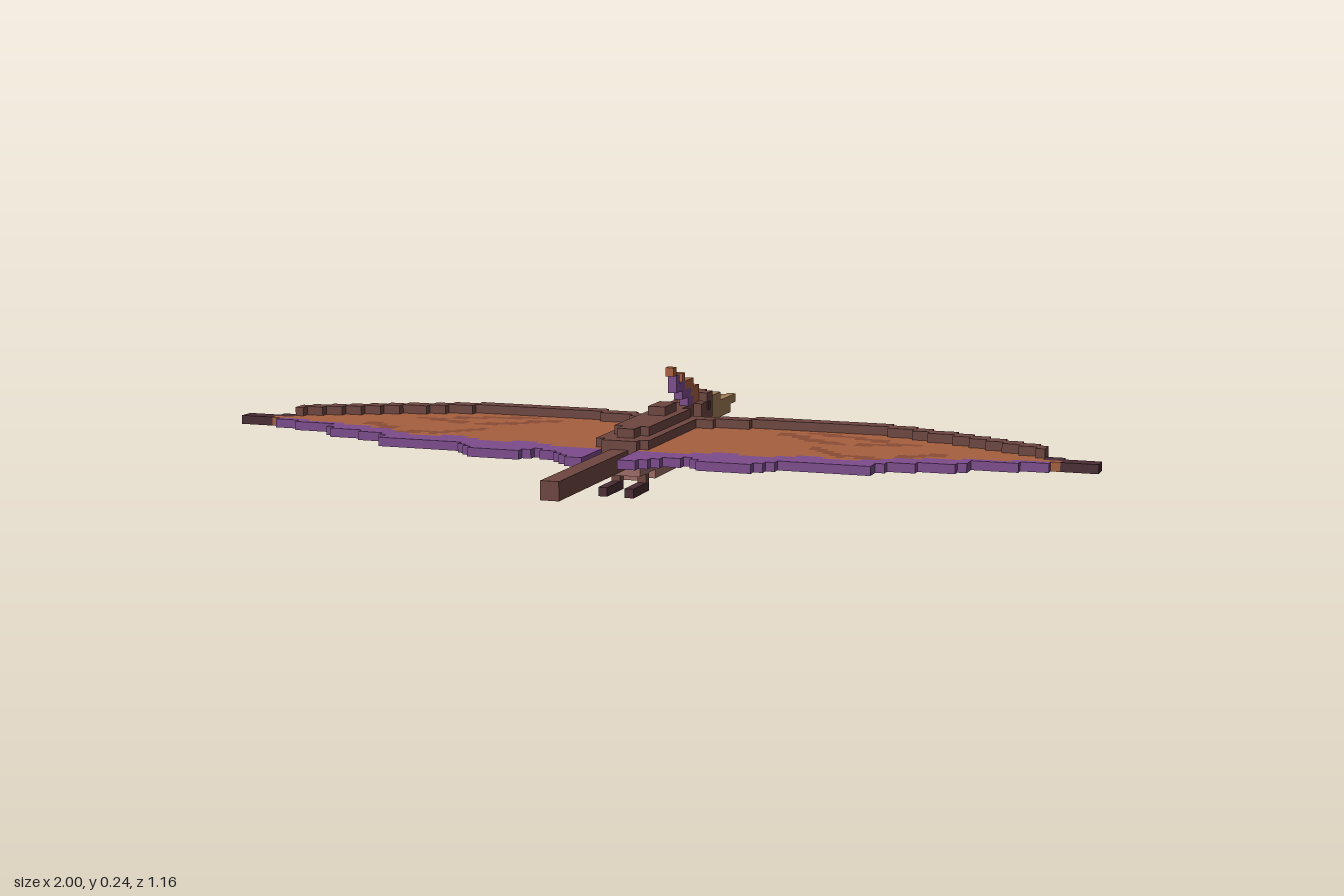
import * as THREE from 'three';
import { mergeGeometries } from 'three/addons/utils/BufferGeometryUtils.js';

const U = 0.02; // one block; all integers below count blocks

const mat = (name, color) => {
  const m = new THREE.MeshStandardMaterial({ color });
  m.name = name;
  return m;
};

// Linear interpolation through [x, z] points, snapped to whole blocks
function edge(points, x) {
  for (let i = 1; i < points.length; i++) {
    const [x0, z0] = points[i - 1], [x1, z1] = points[i];
    if (x <= x1) return Math.round(z0 + (z1 - z0) * (x - x0) / (x1 - x0));
  }
  return Math.round(points[points.length - 1][1]);
}

// Distance from a point to a segment
function segDist(px, pz, [ax, az, bx, bz]) {
  const dx = bx - ax, dz = bz - az;
  const t = Math.min(1, Math.max(0, ((px - ax) * dx + (pz - az) * dz) / (dx * dx + dz * dz)));
  return Math.hypot(px - ax - t * dx, pz - az - t * dz);
}

// Wing outline in blocks: leading edge, membrane/fringe border, trailing edge
const LEAD = [[2, -9.5], [5, -10.2], [6, -11], [9, -11.2], [10, -12], [24, -12], [29, -10], [32, -9],
  [38, -6], [43, -3.4], [46, -1.2], [50, -1]];
const BORDER = [[2, 9.4], [6, 9], [9, 8], [11, 6.8], [13, 7.5], [16, 8.5], [18, 7], [20, 6], [24, 7],
  [27, 6], [29, 4.4], [33, 3], [38, 2], [42, 1.2], [45, 1], [50, 1]];
const TRAIL = [[2, 15], [4, 14.6], [5, 13.5], [6, 12], [9, 11], [10, 12.6], [16, 12.6], [17, 11.5],
  [19, 9.7], [21, 10.6], [23, 10], [28, 9.8], [28.5, 7.6], [31, 6.6], [36, 5.6], [37, 3.6],
  [42, 2.4], [44, 1.6], [46, 1.4], [50, 1]];
const STREAKS = [[17, -8.5, 20.5, -7.5], [22, -7.2, 25, -6], [24, -3, 29, -4.6], [16.5, -4.8, 21, -2.6],
  [19.5, 1, 23.5, 5], [30, 3, 33, 1], [25, 4.5, 27, 5.5], [14, -7, 16, -6]];

export function createModel() {
  const M = {
    brown: mat('brown hide', 0x6e4640),
    dark: mat('dark claw', 0x4a2c34),
    orange: mat('orange membrane', 0xa65f3e),
    rust: mat('rust streak', 0x8a4c36),
    purple: mat('purple fringe', 0x7c4c8c),
    pink: mat('pink belly', 0x9c6c66),
    tan: mat('tan beak', 0xa07c54),
  };
  const model = new THREE.Group();
  model.name = 'wingedReptile';

  // A block spanning x0..x1, y0..y1, z0..z1 in grid units
  const block = (x0, x1, y0, y1, z0, z1) =>
    new THREE.BoxGeometry((x1 - x0) * U, (y1 - y0) * U, (z1 - z0) * U)
      .translate((x0 + x1) * U / 2, (y0 + y1) * U / 2, (z0 + z1) * U / 2);

  const part = (name, material, boxes, parent = model) => {
    const mesh = new THREE.Mesh(mergeGeometries(boxes.map((b) => block(...b))), material);
    mesh.name = name;
    parent.add(mesh);
  };

  // Wings: one run of blocks per colour along every column
  for (const [side, name] of [[1, 'leftWing'], [-1, 'rightWing']]) {
    const wing = new THREE.Group();
    wing.name = name;
    model.add(wing);
    const runs = { brown: [], dark: [], orange: [], rust: [], purple: [] };
    for (let k = 2; k < 50; k++) {
      const x = k + 0.5;
      const [x0, x1] = side > 0 ? [k, k + 1] : [-k - 1, -k];
      const z0 = edge(LEAD, x);
      const z1 = Math.max(edge(TRAIL, x), z0 + 2);
      const border = Math.min(edge(BORDER, x), z1);
      const colourAt = (z) => {
        if (z < z0 + 2 || (k > 45 && z < 1)) return 'dark';
        if (z >= border) return 'purple';
        return STREAKS.some((s) => segDist(x, z + 0.5, s) < 0.8) ? 'rust' : 'orange';
      };
      for (let z = z0, start = z0; z < z1; z++) {
        if (z + 1 === z1 || colourAt(z + 1) !== colourAt(z)) {
          runs[colourAt(z)].push([x0, x1, 4, 5, start, z + 1]);
          start = z + 1;
        }
      }
      if (k < 44) runs.brown.push([x0, x1, 5, 6, z0, z0 + 2]); // arm bone on top
    }
    part('armBone', M.brown, runs.brown, wing);
    part('armUnderside', M.dark, runs.dark, wing);
    part('membrane', M.orange, runs.orange, wing);
    part('membraneStreaks', M.rust, runs.rust, wing);
    part('trailingFringe', M.purple, runs.purple, wing);
  }

  // Torso: stepped back over a paler belly
  part('torso', M.brown, [
    [-2, 2, 4, 6, -10, 9],
    [-3, 3, 4, 6, -8, 8],
    [-2, 2, 6, 7, -9, 5],
    [-1, 1, 6, 7, -12, 7],
    [-1, 1, 7, 8, -7, -3],
  ]);
  part('belly', M.pink, [
    [-3, 3, 3, 4, -8, 8],
    [-2, 2, 3, 4, -10, 9],
    [-2, 2, 2, 3, -10, 8],
    [-1, 1, 1, 2, -6, 5],
    [-2, 2, 1, 2, -4, 3],
  ]);
  part('tail', M.brown, [[-1, 1, 3, 5, 9, 29]]);

  // Feet trailing under the tail
  for (const x of [-2, 1]) {
    part('foot', M.dark, [[x, x + 1, 0, 1, 5, 10]]);
    part('leg', M.brown, [[x, x + 1, 1, 2, 5, 6]]);
  }

  // Neck and head
  part('neck', M.brown, [[-1, 1, 4, 7, -14, -9]]);
  part('head', M.brown, [
    [-1, 1, 4, 8, -18, -13],
    [-2, 2, 5, 7, -17, -13],
    [-1, 1, 7, 8, -17, -15],
  ]);
  for (const x of [2, -2]) {
    const s = Math.sign(x);
    part('eye', M.dark, [[x - 0.1, x + 0.1, 6, 7, -16, -15]]);
    part('brow', M.brown, [[Math.min(x, x - s), Math.max(x, x - s), 7, 8, -17, -15]]);
  }

  // Beak tapering in steps
  part('beak', M.tan, [
    [-1, 1, 4, 7, -23, -17],
    [-1, 1, 4, 6, -27, -23],
    [-1, 1, 5, 6, -28, -27],
    [0, 1, 5, 6, -29, -28],
  ]);

  // Swept-back crest
  part('crestTop', M.orange, [
    [0, 1, 11, 12, -7, -6],
    [0, 1, 10, 11, -10, -9],
    [0, 1, 9, 10, -13, -10],
    [-1, 1, 8, 9, -15, -12],
    [-1, 1, 7, 8, -15, -13],
  ]);
  part('crestUnderside', M.purple, [
    [0, 1, 10, 11, -8, -7],
    [0, 1, 9, 10, -10, -7],
    [0, 1, 8, 9, -12, -9],
    [0, 1, 7, 8, -13, -11],
  ]);
  return model;
}
